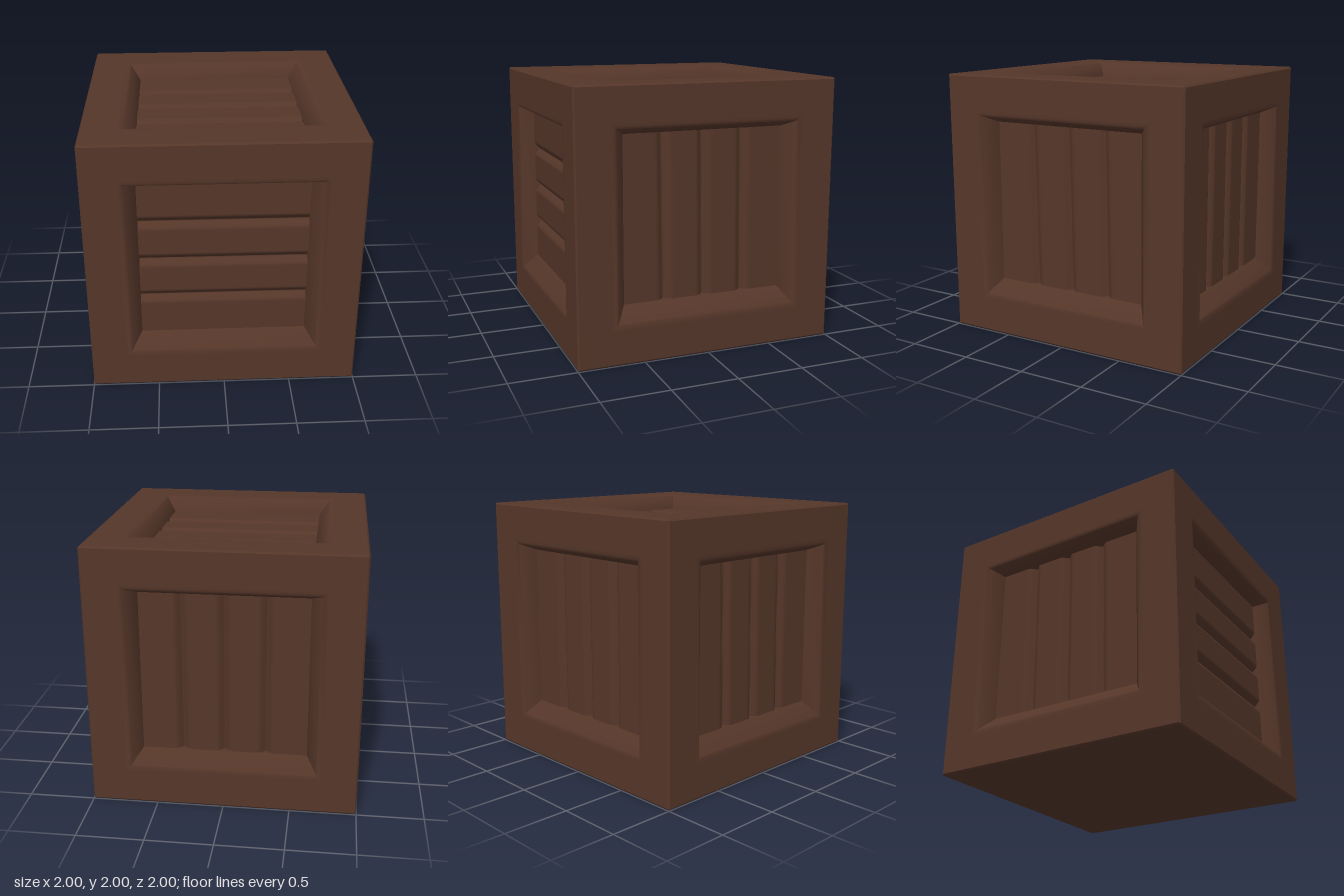
import * as THREE from 'three';
import { toCreasedNormals } from 'three/addons/utils/BufferGeometryUtils.js';

const wood = new THREE.MeshStandardMaterial({ color: 0x553629 });

// Square rings [half size, depth below the face, vertical shift], lofted from outside to inside
function ringLoft(rings, capped) {
  const corners = [[-1, -1], [1, -1], [1, 1], [-1, 1]];
  const point = ([half, depth, shift = 0], i) =>
    [corners[i % 4][0] * half, corners[i % 4][1] * half + shift, 1 - depth];
  const pos = [];
  const quad = (a, b, c, d) => pos.push(...a, ...b, ...c, ...a, ...c, ...d);
  for (let r = 0; r < rings.length - 1; r++) {
    for (let i = 0; i < 4; i++) {
      quad(point(rings[r], i), point(rings[r], i + 1), point(rings[r + 1], i + 1), point(rings[r + 1], i));
    }
  }
  if (capped) {
    const last = rings[rings.length - 1];
    quad(point(last, 0), point(last, 1), point(last, 2), point(last, 3));
  }
  const geo = new THREE.BufferGeometry();
  geo.setAttribute('position', new THREE.Float32BufferAttribute(pos, 3));
  return toCreasedNormals(geo, 0.75);
}

// Frame with a softly rolled, sloping opening
const outerEdge = [[0.994, 0.006], [0.988, 0], [0.97, 0]];
function frameGeometry(shift) {
  return ringLoft([...outerEdge,
    [0.74, 0], [0.715, 0], [0.695, 0.009],
    [0.617, 0.118, shift], [0.617, 0.24, shift]], false);
}

// Four planks: a sheet with three soft V grooves, optionally leaning a little
function plankGeometry(depth, lean) {
  const size = 1.25;
  const geo = new THREE.PlaneGeometry(size, size, 200, 2);
  const pos = geo.attributes.position;
  for (let i = 0; i < pos.count; i++) {
    const u = pos.getX(i) - lean * pos.getY(i);
    let z = 0;
    for (const centre of [-0.31, 0, 0.31]) {
      const t = Math.max(0, 1 - Math.abs(u - centre) / 0.06);
      z -= depth * t * t * (1.6 - 0.6 * t);
    }
    pos.setZ(i, z);
  }
  geo.computeVertexNormals();
  return geo;
}

export function createModel() {
  const model = new THREE.Group();
  model.name = 'crate';
  const half = Math.PI / 2;

  const faces = [
    { name: 'front', rot: [0, 0, 0], shift: 0.03, turn: half, depth: 0.045, lean: 0 },
    { name: 'left', rot: [0, half, 0], shift: 0.03, turn: 0, depth: 0.045, lean: -0.02 },
    { name: 'back', rot: [0, Math.PI, 0], shift: 0.03, turn: 0, depth: 0.045, lean: 0 },
    { name: 'right', rot: [0, -half, 0], shift: 0.03, turn: 0, depth: 0.045, lean: -0.02 },
    { name: 'top', rot: [-half, 0, 0], shift: 0, turn: half, depth: 0.06, lean: 0 },
  ];
  for (const f of faces) {
    const side = new THREE.Group();
    side.name = f.name + 'Side';
    side.position.y = 1;
    side.rotation.set(...f.rot);

    const frame = new THREE.Mesh(frameGeometry(f.shift), wood);
    frame.name = f.name + 'Frame';

    const planks = new THREE.Mesh(plankGeometry(f.depth, f.lean), wood);
    planks.name = f.name + 'Planks';
    planks.position.set(0, f.shift, 1 - 0.117);
    planks.rotation.z = f.turn;

    side.add(frame, planks);
    model.add(side);
  }

  // Plain underside
  const base = new THREE.Mesh(ringLoft(outerEdge, true), wood);
  base.name = 'base';
  base.position.y = 1;
  base.rotation.x = half;
  model.add(base);

  return model;
}
